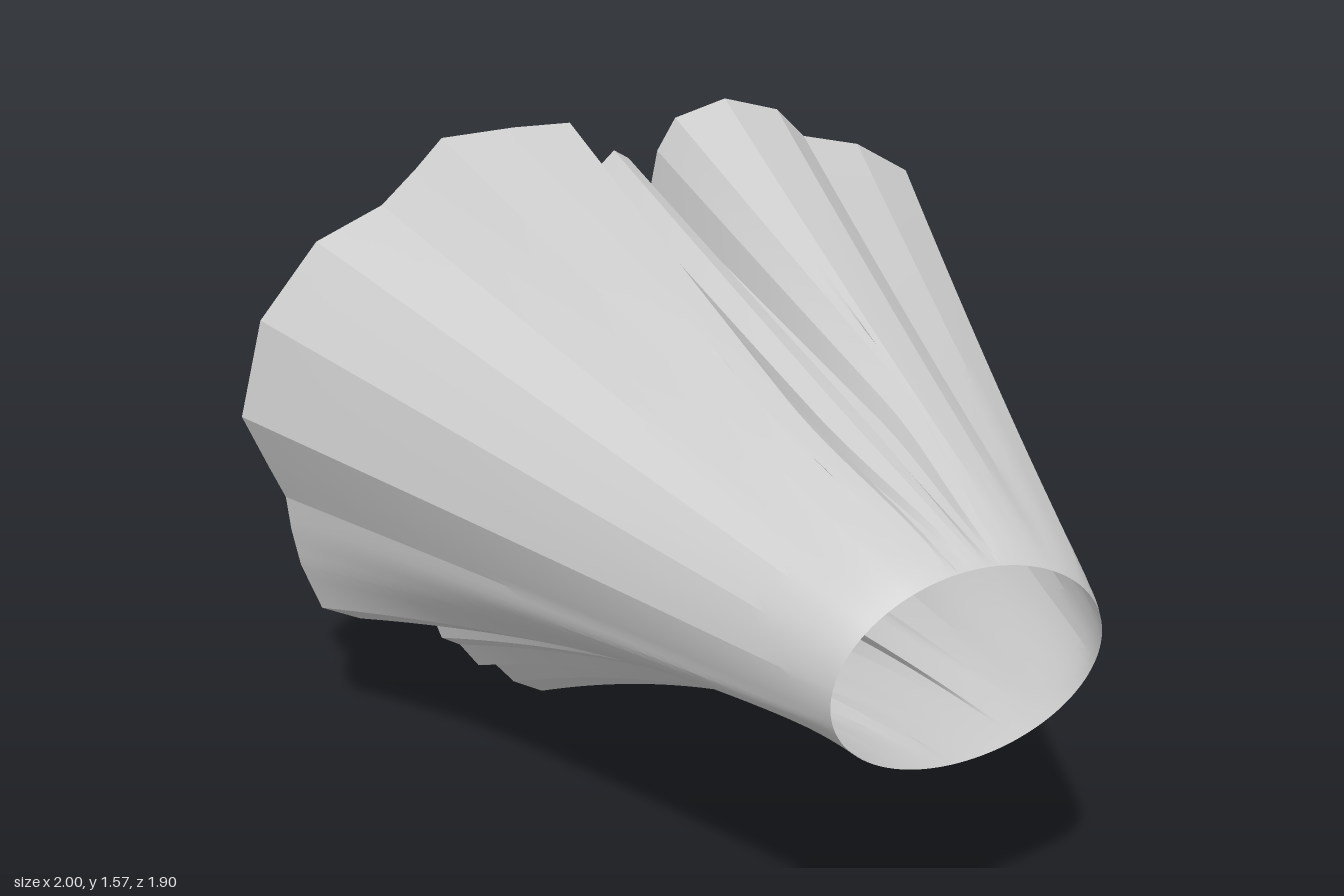
import * as THREE from 'three';
import { toCreasedNormals } from 'three/addons/utils/BufferGeometryUtils.js';

// Hem outline, counter-clockwise from the left side: [x, y, optional z]
const HEM = [
  [1, 0.84], [0.99, 0.88], [0.92, 1.03], [0.86, 1.08], [0.85, 1.32], [0.70, 1.41], [0.54, 1.45], [0.46, 1.53],
  [0.31, 1.575], [0.17, 1.54], [0.12, 1.46], [0.10, 1.36], [0.06, 1.35], [0.04, 1.45], [0, 1.475],
  [-0.05, 1.43], [-0.06, 1.34, -0.88], [-0.11, 1.34, -0.88], [-0.08, 1.46], [-0.12, 1.56], [-0.27, 1.565],
  [-0.46, 1.56], [-0.53, 1.49], [-0.62, 1.41], [-0.79, 1.34], [-0.94, 1.16], [-1, 0.92], [-0.94, 0.78],
  [-0.90, 0.69], [-0.89, 0.60], [-0.87, 0.50], [-0.82, 0.37], [-0.72, 0.32], [-0.60, 0.35], [-0.53, 0.40, -0.93],
  [-0.46, 0.36, -0.95], [-0.52, 0.28], [-0.50, 0.22], [-0.45, 0.19], [-0.40, 0.12], [-0.35, 0.11], [-0.30, 0.05],
  [-0.22, 0.005], [-0.14, 0.03], [-0.10, 0.12], [-0.06, 0.15, -0.95], [-0.02, 0.13, -0.95], [-0.02, 0.04],
  [0.07, 0.02], [0.14, 0.05], [0.24, 0.05], [0.32, 0.08], [0.40, 0.09], [0.43, 0.16], [0.36, 0.26],
  [0.41, 0.36, -0.95], [0.48, 0.32], [0.58, 0.245], [0.74, 0.27], [0.82, 0.40], [0.90, 0.58], [0.98, 0.71],
];
const SPLIT = 3;   // columns per hem edge
const ROWS = 36;
const { lerp, smoothstep } = THREE.MathUtils;

// Waist angle for each hem point: follows its direction, never turning back,
// with extra cloth gathered where the hem is folded.
function waistAngles() {
  const angle = ([x, y]) => Math.atan2((y - 0.8) / 0.78, x);
  const sums = [0];
  HEM.forEach((p, i) => {
    const q = HEM[(i + 1) % HEM.length];
    let d = angle(q) - angle(p);
    if (d < -Math.PI) d += 2 * Math.PI;
    sums.push(sums[i] + Math.max(d, 0) + 0.15 * Math.hypot(q[0] - p[0], q[1] - p[1]));
  });
  const total = sums[HEM.length];
  return sums.map((s) => angle(HEM[0]) + (s / total) * 2 * Math.PI);
}

function skirtGeometry() {
  const n = HEM.length, cols = n * SPLIT;
  const angles = waistAngles();
  const hemZ = ([, y, z]) => z ?? -0.9 + 0.035 * y;
  const pos = [], index = [];
  for (let j = 0; j <= ROWS; j++) {
    const u = Math.pow(j / ROWS, 1.2);
    for (let c = 0; c < cols; c++) {
      const i = Math.floor(c / SPLIT), s = (c % SPLIT) / SPLIT;
      const p = HEM[i], q = HEM[(i + 1) % n];
      const a = lerp(angles[i], angles[i + 1], s);
      const hx = lerp(p[0], q[0], s), hy = lerp(p[1], q[1], s), hz = lerp(hemZ(p), hemZ(q), s);
      // Oval waist opening, its lower edge set back
      const wx = 0.33 * Math.cos(a), wy = 0.757 + 0.243 * Math.sin(a);
      const wz = 0.953 - 0.085 * Math.pow((1 - Math.sin(a)) / 2, 1.5);
      // The underside flares late, the rest runs nearly straight after a rounded waist
      const under = 1 - smoothstep(hy, 0.25, 0.65);
      const bulge = 0.03 * (1 - under) * (1 - Math.exp(-25 * u)) * (1 - u);
      const f = Math.pow(u, 1.05 + 0.55 * under) + bulge;
      // The top pleat spreads to its full width soon after the waist
      const pleat = smoothstep(hy, 1.2, 1.3) * (1 - smoothstep(Math.abs(hx), 0.15, 0.3));
      const fx = lerp(f, smoothstep(u, 0, 0.35), pleat);
      pos.push(lerp(wx, hx, fx), lerp(wy, hy, f), lerp(wz, hz, u));
    }
  }
  for (let j = 0; j < ROWS; j++) {
    for (let c = 0; c < cols; c++) {
      const a = j * cols + c, b = j * cols + (c + 1) % cols;
      index.push(a, a + cols, b, b, a + cols, b + cols);
    }
  }
  const g = new THREE.BufferGeometry();
  g.setAttribute('position', new THREE.Float32BufferAttribute(pos, 3));
  g.setIndex(index);
  return toCreasedNormals(g, 0.22);
}

export function createModel() {
  const group = new THREE.Group();
  group.name = 'pleatedSkirt';
  const cloth = new THREE.MeshStandardMaterial({ color: 0xcccccc, side: THREE.DoubleSide });
  const skirt = new THREE.Mesh(skirtGeometry(), cloth);
  skirt.name = 'skirtCloth';
  group.add(skirt);
  return group;
}
